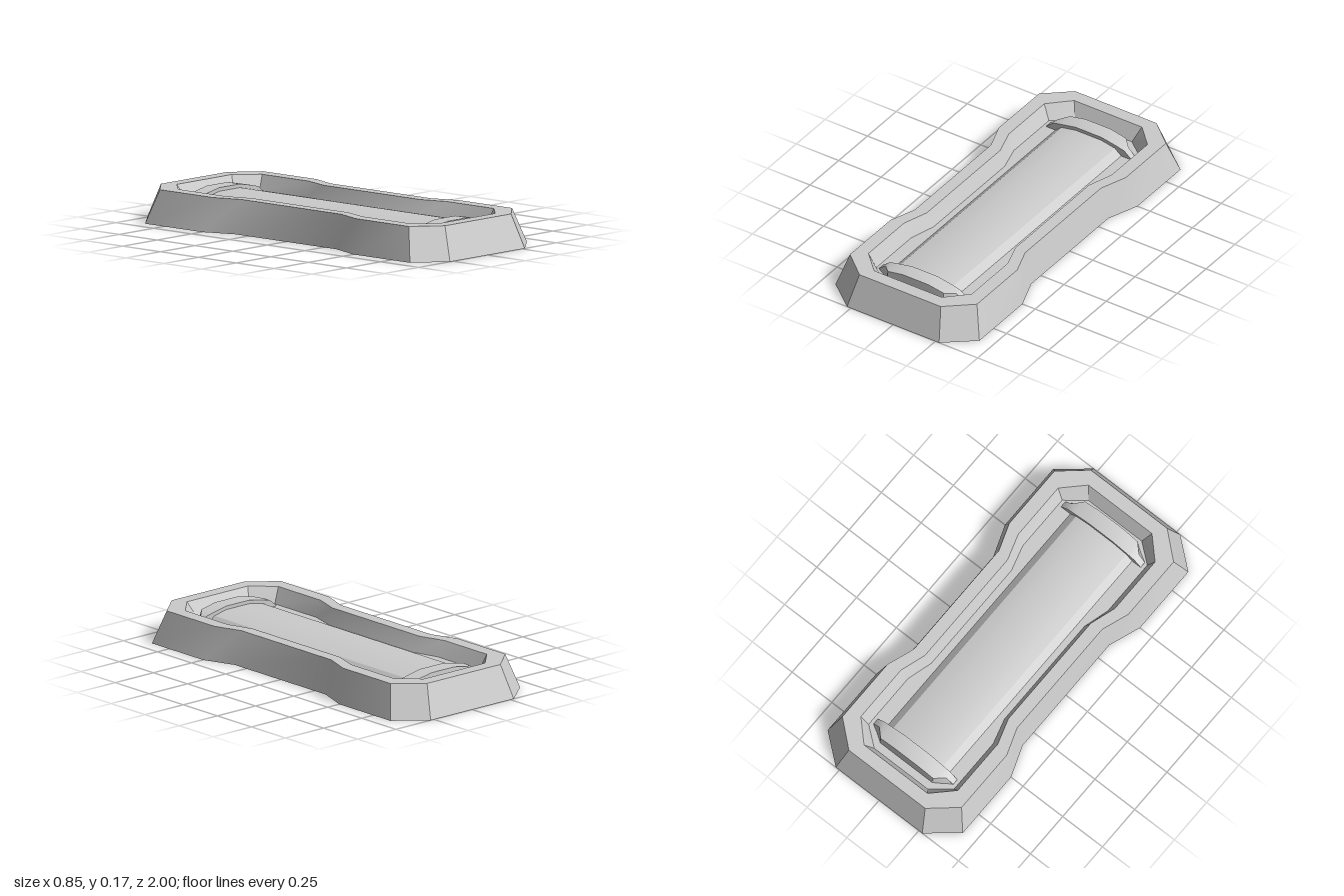
import * as THREE from 'three';
import { toCreasedNormals } from 'three/addons/utils/BufferGeometryUtils.js';

const material = new THREE.MeshStandardMaterial({ color: 0xcccccc });

// Skins a sequence of equal-length rings and closes both ends with fans.
function loft(rings) {
  const pos = [];
  const tri = (...pts) => pts.forEach((p) => pos.push(p.x, p.y, p.z));
  const middle = (ring) => ring
    .reduce((sum, p) => sum.add(p), new THREE.Vector3())
    .divideScalar(ring.length);
  const first = rings[0], last = rings[rings.length - 1];
  const c0 = middle(first), c1 = middle(last);
  const n = first.length;
  for (let i = 0; i < n; i++) {
    const j = (i + 1) % n;
    tri(c0, first[j], first[i]);
    tri(c1, last[i], last[j]);
    for (let r = 0; r < rings.length - 1; r++) {
      const a = rings[r], b = rings[r + 1];
      tri(a[i], a[j], b[j]);
      tri(a[i], b[j], b[i]);
    }
  }
  const geometry = new THREE.BufferGeometry();
  geometry.setAttribute('position', new THREE.Float32BufferAttribute(pos, 3));
  return toCreasedNormals(geometry, 0.5);
}

// Mirrors one quadrant of the waisted outline into a full ring at height y.
function outline(y, quarter) {
  const flipped = [...quarter].reverse();
  const half = [...quarter, ...flipped.map(([x, z]) => [x, -z])];
  return [...half, ...half.map(([x, z]) => [-x, -z])]
    .map(([x, z]) => new THREE.Vector3(x, y, z));
}

// Cross-section of an end clip at x; its outer side leans in towards the top.
function clipSection([x, top, outerLow, outerTop]) {
  const low = 0.085, inner = 0.72;
  return [[low, outerLow], [low, inner], [top, inner], [top, outerTop]]
    .map(([y, z]) => new THREE.Vector3(x, y, z));
}

export function createModel() {
  const group = new THREE.Group();
  const add = (name, geometry) => {
    const mesh = new THREE.Mesh(geometry, material);
    mesh.name = name;
    group.add(mesh);
    return mesh;
  };

  // Sloped outer wall, flat rim, inner wall and tray floor
  add('trayFrame', loft([
    outline(0, [[0.272, 1], [0.425, 0.875], [0.425, 0.5], [0.365, 0.335]]),
    outline(0.168, [[0.24, 0.938], [0.375, 0.822], [0.375, 0.472], [0.325, 0.33]]),
    outline(0.168, [[0.2, 0.87], [0.305, 0.765], [0.305, 0.455], [0.262, 0.32]]),
    outline(0.09, [[0.168, 0.83], [0.268, 0.75], [0.268, 0.445], [0.23, 0.31]]),
  ]));

  // Long arched panel with bevelled sides
  const profile = new THREE.Shape([
    [-0.197, 0.08], [0.192, 0.08], [0.192, 0.09], [0.155, 0.121], [0.075, 0.137],
    [-0.075, 0.137], [-0.16, 0.121], [-0.197, 0.09],
  ].map(([x, y]) => new THREE.Vector2(x, y)));
  const panel = new THREE.ExtrudeGeometry(profile, { depth: 1.46, bevelEnabled: false });
  add('centrePanel', toCreasedNormals(panel.translate(0, 0, -0.72), 0.45));

  // Arched clips with cut corners, holding both ends of the panel
  const clipEnd = [
    [0.25, 0.094, 0.752, 0.752],
    [0.21, 0.127, 0.778, 0.757],
    [0.165, 0.138, 0.808, 0.802],
    [0.075, 0.155, 0.808, 0.804],
  ];
  const clip = loft([
    ...clipEnd.map(([x, ...rest]) => clipSection([-x, ...rest])),
    ...[...clipEnd].reverse().map(clipSection),
  ]);
  add('frontClip', clip);
  const backClip = add('backClip', clip);
  backClip.rotation.y = Math.PI;
  backClip.position.z = 0.018;

  return group;
}
